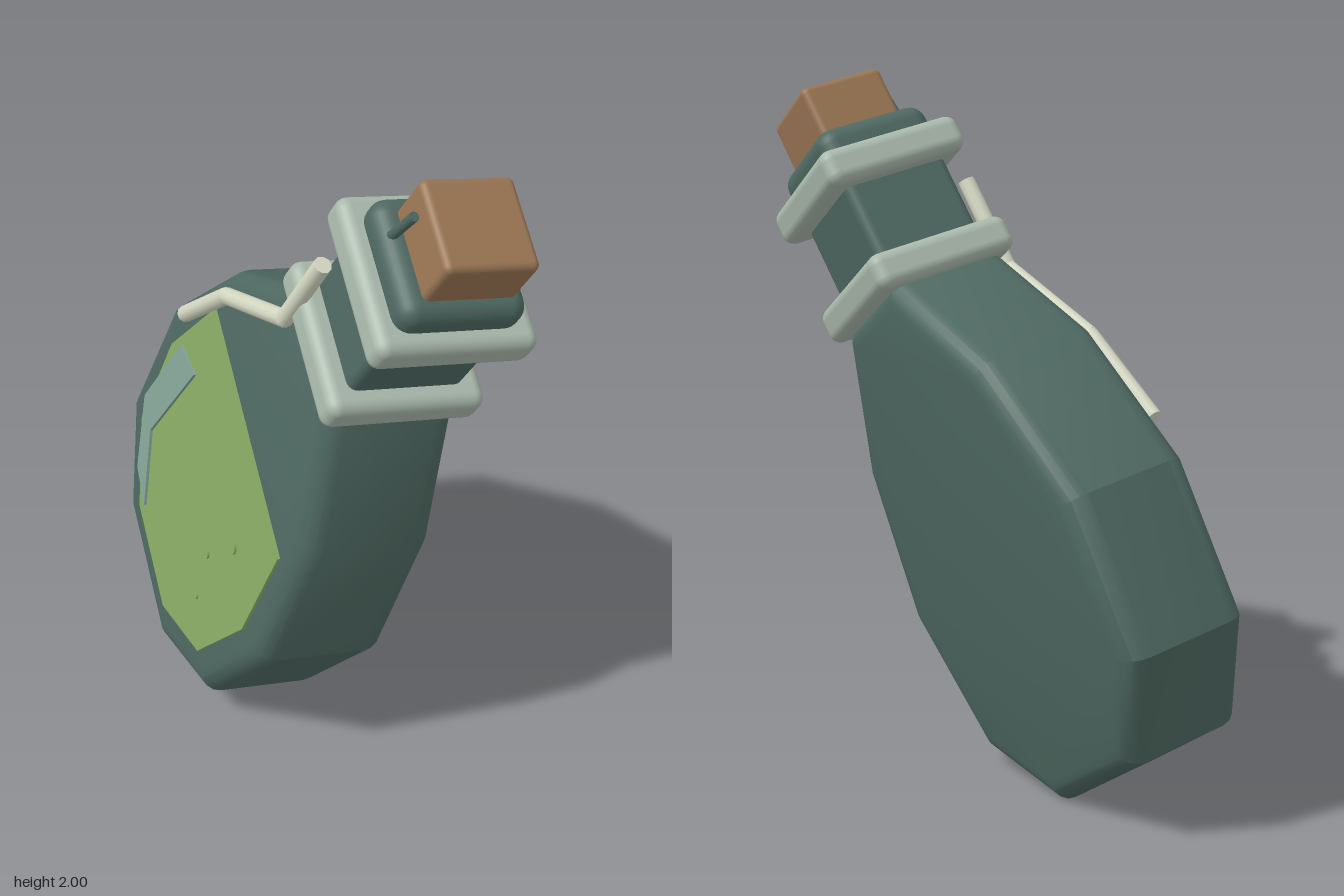
import * as THREE from 'three';
import { toCreasedNormals } from 'three/addons/utils/BufferGeometryUtils.js';
import { RoundedBoxGeometry } from 'three/addons/geometries/RoundedBoxGeometry.js';

const material = (name, color) => {
  const m = new THREE.MeshStandardMaterial({ color });
  m.name = name;
  return m;
};

export function createModel() {
  const glass = material('dark glass', 0x4e6861);
  const ringGrey = material('pale ring', 0xa9b8ab);
  const corkBrown = material('cork brown', 0x997553);
  const liquidGreen = material('liquid green', 0x87a962);
  const shine = material('glass shine', 0x84a396);
  const cream = material('cream streak', 0xd5d9c3);

  const model = new THREE.Group();
  model.name = 'flask';
  const bottle = new THREE.Group();
  bottle.name = 'tiltedBottle';
  model.add(bottle);

  const add = (name, geometry, mat, x = 0, y = 0, z = 0) => {
    const mesh = new THREE.Mesh(geometry, mat);
    mesh.name = name;
    mesh.position.set(x, y, z);
    bottle.add(mesh);
    return mesh;
  };
  const outline = (points) => new THREE.Shape(points.map(([x, y]) => new THREE.Vector2(x, y)));
  // Right half, bottom to top, mirrored to a closed outline
  const mirrored = (half) => outline([...half, ...half.map(([x, y]) => [-x, y]).reverse()]);
  const plate = (name, shape, mat, z, depth) =>
    add(name, new THREE.ExtrudeGeometry(shape, { depth, bevelEnabled: false }), mat, 0, 0, z);
  const block = (name, mat, width, height, y, radius, z = 0.2) =>
    add(name, new RoundedBoxGeometry(width, height, width, 3, radius), mat, 0, y, z);
  const rod = (name, a, b, radius, mat) => {
    const from = new THREE.Vector3(...a), to = new THREE.Vector3(...b);
    const mesh = add(name, new THREE.CylinderGeometry(radius, radius, from.distanceTo(to), 10), mat);
    mesh.position.copy(from).lerp(to, 0.5);
    mesh.quaternion.setFromUnitVectors(new THREE.Vector3(0, 1, 0), to.sub(from).normalize());
  };

  // Ten-sided flat body with soft edges
  const body = mirrored([[0.23, -0.18], [0.5, 0.057], [0.575, 0.51], [0.44, 0.96], [0.18, 1.32]]);
  const bevel = 0.065;
  add('body', toCreasedNormals(new THREE.ExtrudeGeometry(body, {
    depth: 0.4 - 2 * bevel, bevelThickness: bevel, bevelSize: bevel, bevelOffset: -bevel, bevelSegments: 4,
  }), 0.45), glass, 0, 0, bevel);

  // Square neck, lip, rings and stopper
  block('neck', glass, 0.34, 0.56, 1.49, 0.03);
  block('lip', glass, 0.36, 0.12, 1.76, 0.05);
  for (const y of [1.355, 1.685]) block('ring', ringGrey, 0.46, 0.11, y, 0.035);
  add('cork', new RoundedBoxGeometry(0.265, 0.24, 0.265, 3, 0.02), corkBrown, 0, 1.85, 0.19);

  // Liquid seen through the front, with its surface band and bubbles
  plate('liquid', mirrored([[0.17, -0.06], [0.39, 0.123], [0.46, 0.477], [0.39, 0.825]]),
    liquidGreen, 0.4, 0.009);
  plate('liquidSurface', outline([[-0.39, 0.7], [0.32, 0.71], [0.37, 0.81], [-0.37, 0.8]]),
    liquidGreen, 0.409, 0.006);
  for (const [x, y, r] of [[0.236, 0.561, 0.025], [0.175, 0.37, 0.018], [0.25, 0.22, 0.011]]) {
    const bubble = add('bubble', new THREE.CylinderGeometry(r, r, 0.008, 12), liquidGreen, x, y, 0.411);
    bubble.rotation.x = Math.PI / 2;
  }

  // Bent reflection on the lower left of the glass
  plate('reflection', outline([
    [-0.41, 0.57], [-0.42, 0.215], [-0.265, 0.026], [-0.14, 0.007], [-0.31, 0.194], [-0.29, 0.606],
  ]), shine, 0.413, 0.009);

  // Cream streak along the shoulder and neck
  const streak = [[-0.47, 0.65, 0.42], [-0.366, 0.95, 0.42], [-0.12, 1.273, 0.425], [-0.122, 1.56, 0.425]];
  streak.slice(1).forEach((p, i) => rod('shoulderStreak', streak[i], p, 0.025, cream));
  for (const p of streak.slice(1, 3)) add('streakJoint', new THREE.SphereGeometry(0.025, 10, 8), cream, ...p);

  // Small dark pin by the stopper
  rod('corkPin', [-0.065, 1.79, 0.35], [-0.045, 1.93, 0.345], 0.014, glass);

  // Lean the bottle to its left and turn it
  const front = new THREE.Vector3(-0.4, 0.18, 0.9).normalize();
  const side = new THREE.Vector3(0.561, 0.824, 0.081).cross(front).normalize();
  const up = front.clone().cross(side);
  bottle.quaternion.setFromRotationMatrix(new THREE.Matrix4().makeBasis(side, up, front));
  bottle.position.set(-0.339, 0.263, -0.203);
  return model;
}
